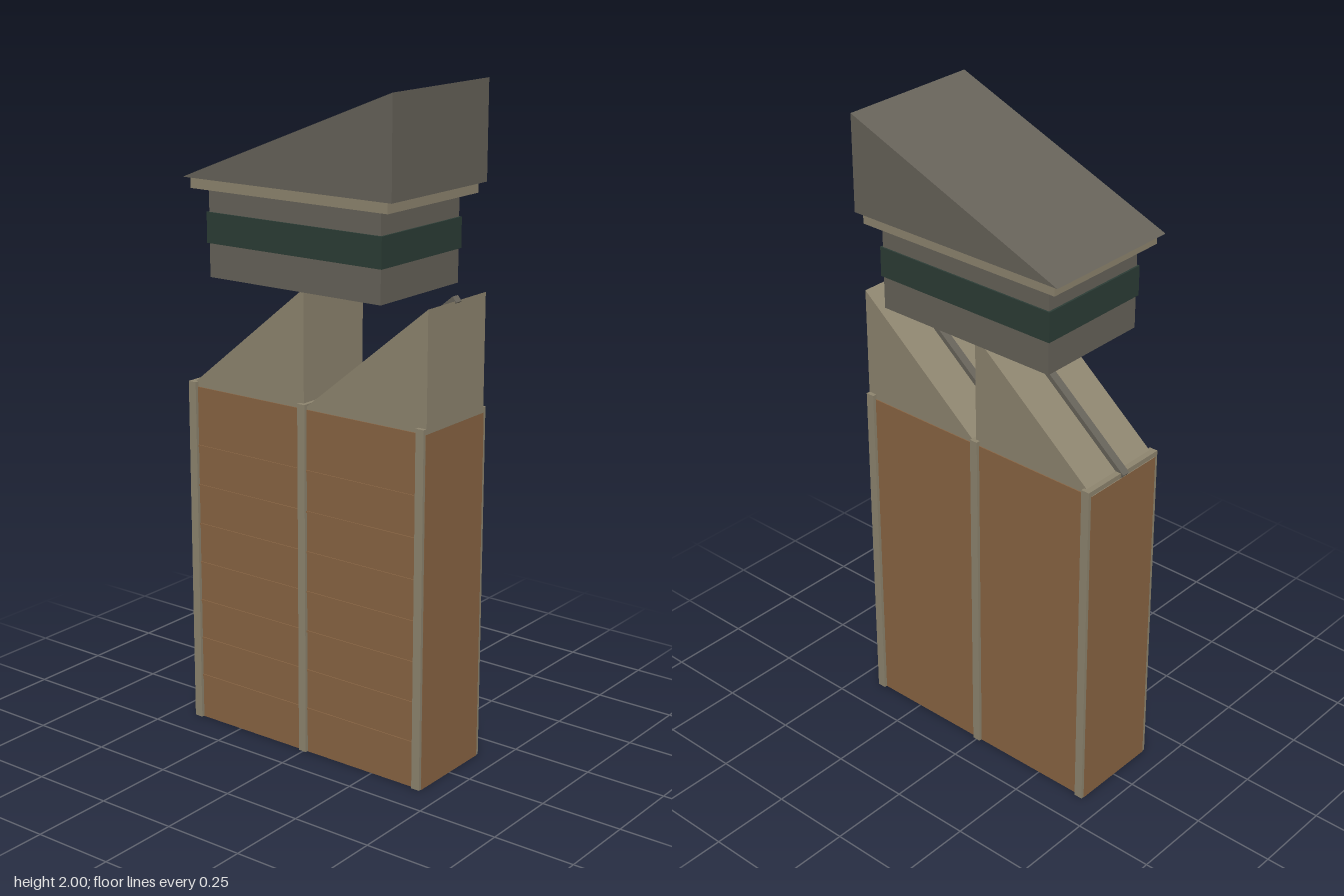
import * as THREE from 'three';

const material = (name, color) => {
  const m = new THREE.MeshStandardMaterial({ color });
  m.name = name;
  return m;
};

export function createModel() {
  const model = new THREE.Group();
  model.name = 'tower';

  const brick = material('brown brick', 0x8b6644);
  const stone = material('tan stone', 0x8f8670);
  const slate = material('grey slate', 0x67635a);
  const glass = material('dark green glass', 0x2c3d36);

  const add = (name, geometry, mat) => {
    const mesh = new THREE.Mesh(geometry, mat);
    mesh.name = name;
    model.add(mesh);
    return mesh;
  };

  // Box given by its x, y and z limits
  const box = (name, mat, x0, x1, y0, y1, depth) => {
    const mesh = add(name, new THREE.BoxGeometry(x1 - x0, y1 - y0, depth), mat);
    mesh.position.set((x0 + x1) / 2, (y0 + y1) / 2, 0);
    return mesh;
  };

  // Triangular prism rising towards +x
  const wedge = (name, mat, x0, x1, y0, y1, depth) => {
    const shape = new THREE.Shape();
    shape.moveTo(x0, y0);
    shape.lineTo(x1, y0);
    shape.lineTo(x1, y1);
    shape.closePath();
    const geometry = new THREE.ExtrudeGeometry(shape, { depth, bevelEnabled: false });
    geometry.translate(0, 0, -depth / 2);
    return add(name, geometry, mat);
  };

  // Brick body with thin horizontal courses on the front
  box('body', brick, -0.428, 0.428, 0, 1.067, 0.286);
  for (let i = 0; i < 7; i++) {
    const y = 0.14 + i * 0.124;
    box('brickCourse', brick, -0.426, 0.426, y - 0.003, y + 0.003, 0.004).position.z = 0.144;
  }

  // Pilasters running through the body, showing at front and back
  for (const [x0, x1] of [[-0.427, -0.4], [-0.014, 0.012], [0.4, 0.427]]) {
    box('pilaster', stone, x0, x1, 0.001, 1.083, 0.306);
  }

  // Sawtooth roofs, each with a rib down its slope
  for (const x of [-0.428, 0]) {
    wedge('sawtoothRoof', stone, x, x + 0.428, 1.067, 1.418, 0.28);
    const rib = add('roofRib', new THREE.BoxGeometry(0.554, 0.02, 0.026), slate);
    rib.position.set(x + 0.212, 1.247, 0);
    rib.rotation.z = Math.atan2(0.351, 0.428);
  }

  // Floating upper block with its window band, cornice and sloping cap
  box('upperBlock', slate, -0.305, 0.303, 1.42, 1.68, 0.372);
  box('windowBand', glass, -0.311, 0.309, 1.52, 1.61, 0.382);
  box('cornice', stone, -0.348, 0.346, 1.678, 1.71, 0.432);
  wedge('capRoof', slate, -0.367, 0.367, 1.71, 2, 0.455);

  return model;
}
